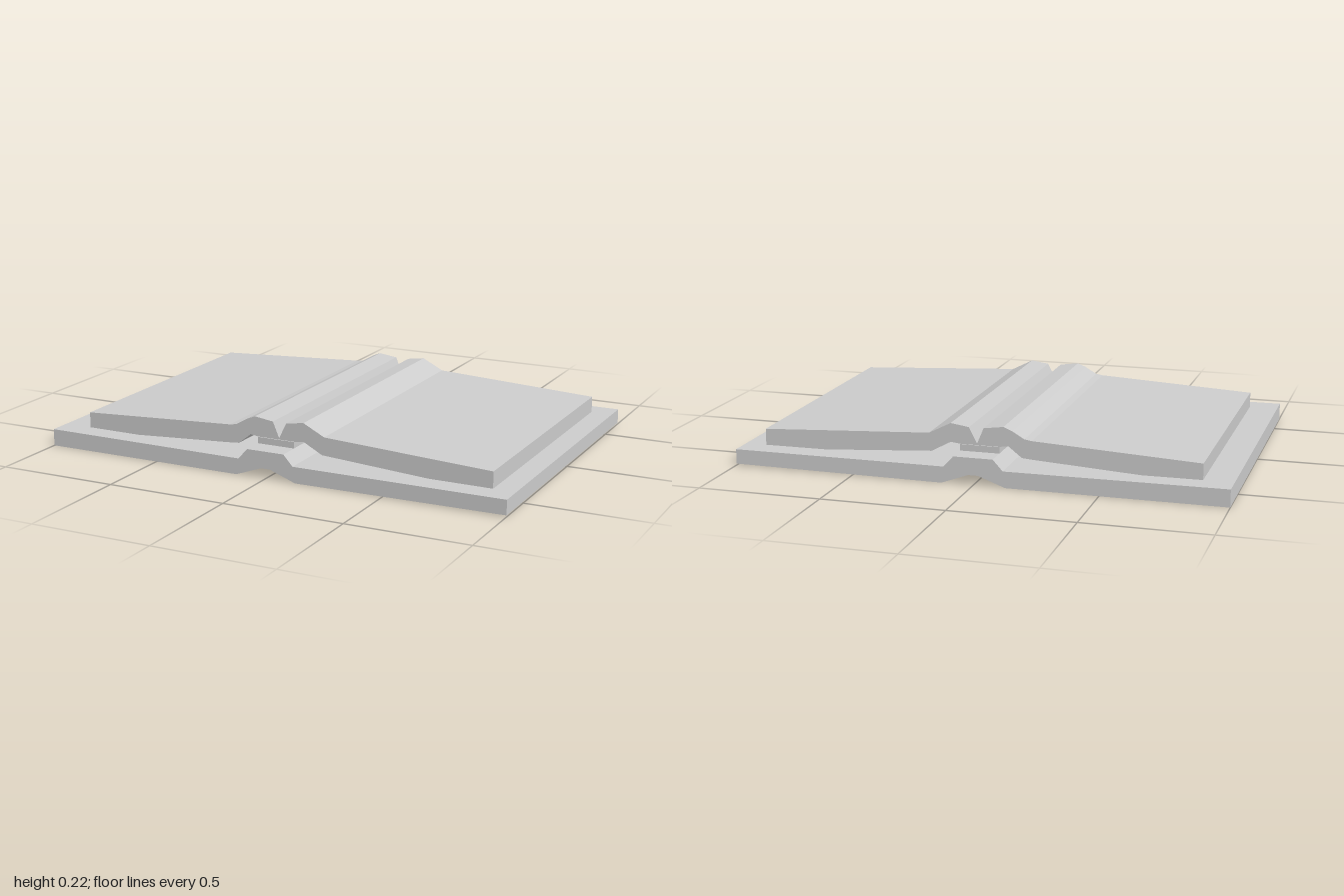
import * as THREE from 'three';

const material = new THREE.MeshStandardMaterial({ color: 0xcccccc, flatShading: true });

// Extrudes an x/y cross-section evenly to both sides of z = 0
function slab(name, points, depth) {
  const shape = new THREE.Shape(points.map(([x, y]) => new THREE.Vector2(x, y)));
  const geometry = new THREE.ExtrudeGeometry(shape, { depth, bevelEnabled: false });
  geometry.translate(0, 0, -depth / 2);
  const mesh = new THREE.Mesh(geometry, material);
  mesh.name = name;
  return mesh;
}

export function createModel() {
  const book = new THREE.Group();
  book.name = 'openBook';

  // Cover boards with the raised spine in the middle
  book.add(slab('cover', [
    [-1, 0], [-0.13, 0], [-0.02, 0.04], [0.02, 0.04], [0.13, 0], [1, 0.006],
    [1, 0.066], [0.12, 0.066], [0.08, 0.11], [-0.08, 0.11], [-0.12, 0.066], [-1, 0.07],
  ], 1.345));

  // Binding strip joining the pages to the spine
  book.add(slab('binding', [
    [-0.08, 0.11], [0.08, 0.11], [0.08, 0.136], [-0.08, 0.136],
  ], 1.17));

  // Page blocks, arched over the binding and meeting in the gutter
  book.add(slab('leftPagesAsSeen', [
    [0.012, 0.136], [0.012, 0.142], [-0.015, 0.206], [-0.095, 0.217], [-0.13, 0.203], [-0.18, 0.174],
    [-0.21, 0.169], [-0.88, 0.134], [-0.88, 0.068], [-0.65, 0.068],
    [-0.22, 0.094], [-0.17, 0.098], [-0.115, 0.141], [-0.08, 0.136],
  ].reverse(), 1.16));
  book.add(slab('rightPagesAsSeen', [
    [0.012, 0.136], [0.08, 0.136], [0.12, 0.141], [0.2, 0.098], [0.65, 0.068], [0.91, 0.067],
    [0.91, 0.134], [0.21, 0.171], [0.12, 0.217], [0.045, 0.206], [0.012, 0.142],
  ], 1.16));

  // Names follow the model's own sides: its left is +x
  book.getObjectByName('leftPagesAsSeen').name = 'rightPages';
  book.getObjectByName('rightPagesAsSeen').name = 'leftPages';
  return book;
}
